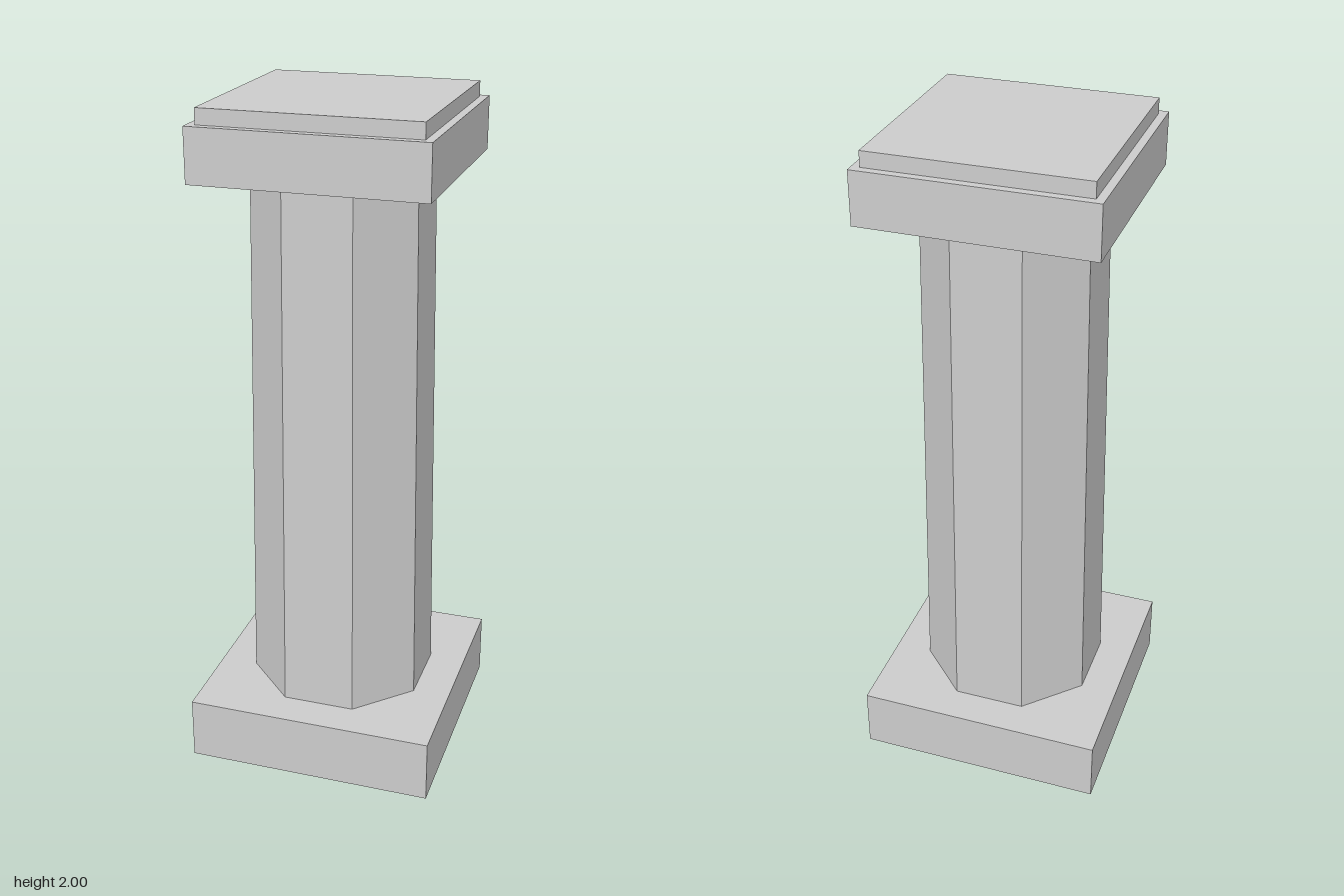
import * as THREE from 'three';

export function createModel() {
  const group = new THREE.Group();
  group.name = 'column';
  const stone = new THREE.MeshStandardMaterial({ color: 0xcccccc });
  stone.name = 'light grey stone';
  stone.flatShading = true;

  const add = (name, geometry, bottom, top) => {
    const mesh = new THREE.Mesh(geometry, stone);
    mesh.name = name;
    mesh.position.y = (bottom + top) / 2;
    group.add(mesh);
  };

  // Square slabs: name, width, bottom, top
  const slabs = [
    ['plinth', 0.747, 0, 0.19],
    ['capital', 0.67, 1.8, 1.955],
    ['topSlab', 0.622, 1.955, 2],
  ];
  for (const [name, width, bottom, top] of slabs) {
    add(name, new THREE.BoxGeometry(width, top - bottom, width), bottom, top);
  }

  // Tapered octagonal shaft with a flat side facing the front
  const corner = 1 / Math.cos(Math.PI / 8);
  const shaft = new THREE.CylinderGeometry(0.242 * corner, 0.262 * corner, 1.61, 8, 1, true);
  shaft.rotateY(Math.PI / 8);
  add('shaft', shaft, 0.19, 1.8);

  return group;
}
